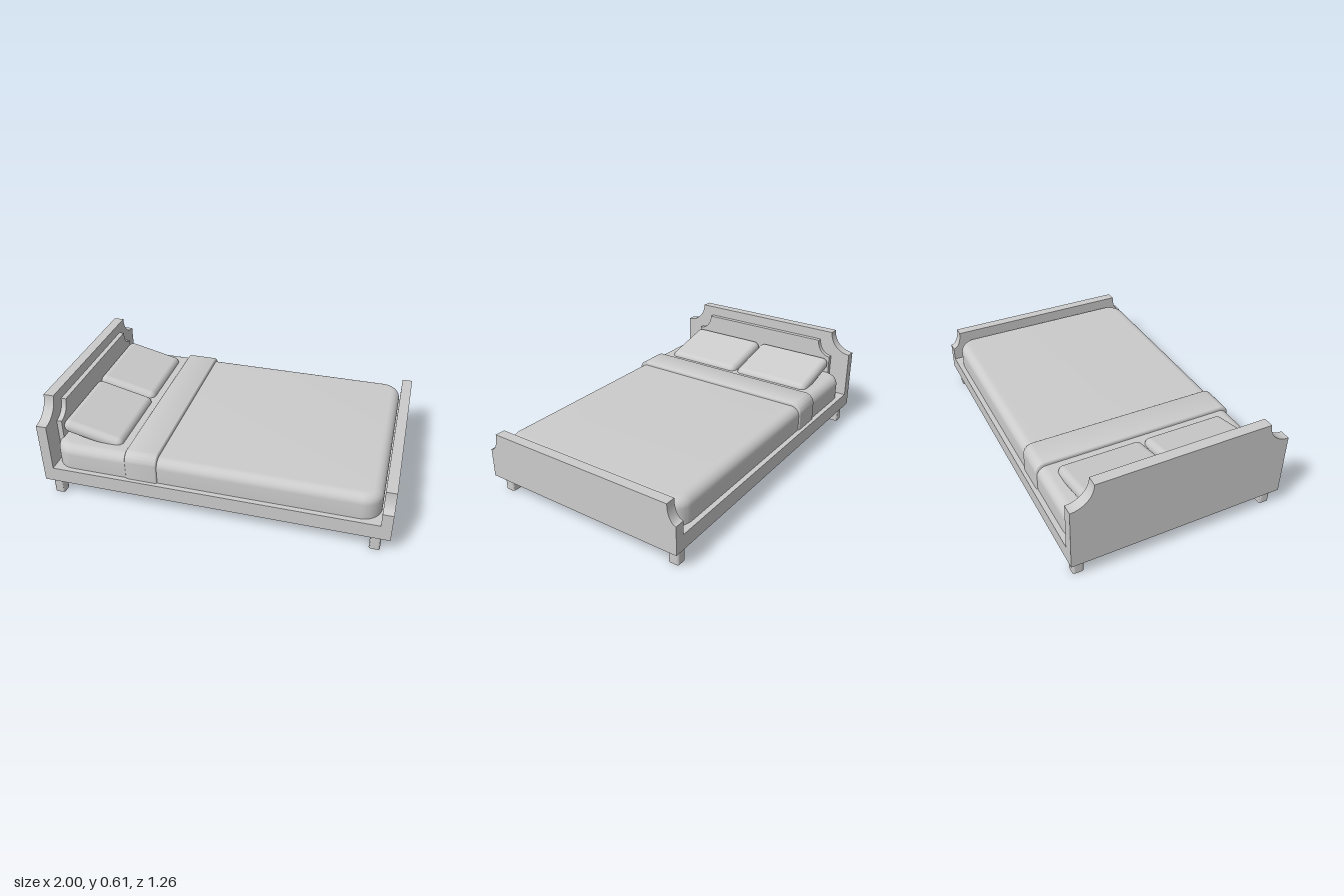
import * as THREE from 'three';
import { toCreasedNormals } from 'three/addons/utils/BufferGeometryUtils.js';
import { RoundedBoxGeometry } from 'three/addons/geometries/RoundedBoxGeometry.js';

const material = new THREE.MeshStandardMaterial({ color: 0xcccccc });

function addPart(group, name, geometry, x = 0, y = 0, z = 0) {
  const mesh = new THREE.Mesh(geometry, material);
  mesh.name = name;
  mesh.position.set(x, y, z);
  group.add(mesh);
  return mesh;
}

// Symmetric panel with scooped-out upper corners, extruded along x from 0
function scoopedBoard(halfWidth, bottom, top, rz, ry, thickness) {
  const s = new THREE.Shape();
  s.moveTo(-halfWidth, bottom);
  s.lineTo(halfWidth, bottom);
  s.lineTo(halfWidth, top - ry);
  s.absellipse(halfWidth, top, rz, ry, Math.PI * 1.5, Math.PI, true, 0);
  s.lineTo(-halfWidth + rz, top);
  s.absellipse(-halfWidth, top, rz, ry, 0, -Math.PI / 2, true, 0);
  s.closePath();
  const g = new THREE.ExtrudeGeometry(s, { depth: thickness, bevelEnabled: false, curveSegments: 16 });
  return toCreasedNormals(g.rotateY(Math.PI / 2), 0.6);
}

function roundedRect(w, h, r) {
  const s = new THREE.Shape();
  const a = w / 2 - r, b = h / 2 - r, q = Math.PI / 2;
  s.absarc(a, b, r, 0, q);
  s.absarc(-a, b, r, q, 2 * q);
  s.absarc(-a, -b, r, 2 * q, 3 * q);
  s.absarc(a, -b, r, 3 * q, 4 * q);
  s.closePath();
  return s;
}

// Upright slab with rounded plan corners and softened rims, base at y = 0
function softSlab(w, height, d, corner, rim) {
  const g = new THREE.ExtrudeGeometry(roundedRect(w - 2 * rim, d - 2 * rim, corner - rim), {
    depth: height - 2 * rim, bevelThickness: rim, bevelSize: rim, bevelSegments: 8, curveSegments: 10,
  });
  return toCreasedNormals(g.rotateX(-Math.PI / 2).translate(0, rim, 0), 0.6);
}

// Folded sheet: arched section across the bed with slightly softened edges
function foldedSheet(length, halfWidth, bottom, top, radius, rim) {
  const w = halfWidth - rim, t = top - rim, r = radius - rim;
  const s = new THREE.Shape();
  s.moveTo(-w, bottom);
  s.lineTo(w, bottom);
  s.absarc(w - r, t - r, r, 0, Math.PI / 2);
  s.absarc(-w + r, t - r, r, Math.PI / 2, Math.PI);
  s.closePath();
  const g = new THREE.ExtrudeGeometry(s, {
    depth: length - 2 * rim, bevelThickness: rim, bevelSize: rim, bevelSegments: 4, curveSegments: 10,
  });
  return toCreasedNormals(g.rotateY(Math.PI / 2).translate(rim - length / 2, 0, 0), 0.6);
}

export function createModel() {
  const bed = new THREE.Group();
  bed.name = 'bed';

  // Base and end boards
  addPart(bed, 'bedFrame', new THREE.BoxGeometry(2, 0.09, 1.264), 0, 0.147, 0);
  addPart(bed, 'headboard', scoopedBoard(0.632, 0.19, 0.607, 0.13, 0.13, 0.06), -1);
  addPart(bed, 'headboardPanel', scoopedBoard(0.51, 0.19, 0.545, 0.085, 0.1, 0.03), -0.94);
  addPart(bed, 'footboard', scoopedBoard(0.632, 0.19, 0.38, 0.053, 0.108, 0.06), 0.94);

  // Legs with eased vertical edges
  const leg = new THREE.ExtrudeGeometry(roundedRect(0.06, 0.062, 0.012), {
    depth: 0.105, bevelEnabled: false, curveSegments: 4,
  }).rotateX(-Math.PI / 2);
  const legGeometry = toCreasedNormals(leg, 0.6);
  for (const x of [-0.935, 0.922]) {
    for (const z of [-0.577, 0.577]) addPart(bed, 'leg', legGeometry, x, 0, z);
  }

  // Bedding
  addPart(bed, 'mattress', softSlab(1.875, 0.23, 1.205, 0.11, 0.055), -0.003, 0.11, 0);
  addPart(bed, 'foldedSheet', foldedSheet(0.19, 0.61, 0.18, 0.362, 0.06, 0.012), -0.405);
  for (const side of [-1, 1]) {
    const pillow = addPart(bed, 'pillow', new RoundedBoxGeometry(0.368, 0.08, 0.505, 6, 0.038),
      -0.73, 0.368, side * 0.26);
    pillow.rotation.z = -0.235;
  }
  return bed;
}
